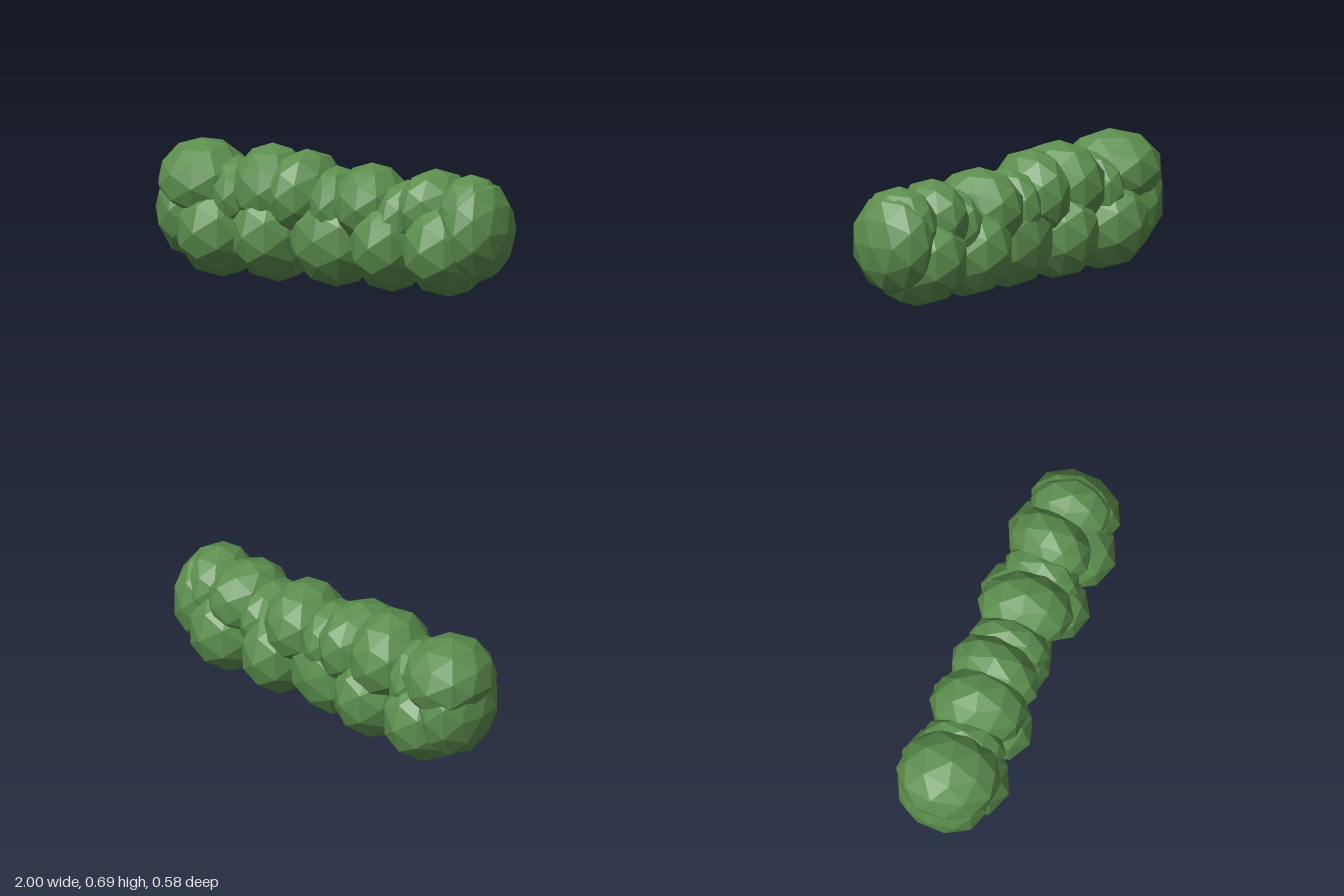
import * as THREE from 'three';

// Low-poly hedge assembled from overlapping faceted leaf clumps.
export function createModel() {
  const hedge = new THREE.Group();
  hedge.name = 'hedge';
  const leaves = new THREE.MeshStandardMaterial({ color: 0x5c8f4e, flatShading: true });

  function row(name, clumps) {
    const group = new THREE.Group();
    group.name = name;
    clumps.forEach(([x, y, z, rx, ry, rz, turn = 0, tilt = 0], i) => {
      const clump = new THREE.Mesh(new THREE.IcosahedronGeometry(1, 1), leaves);
      clump.name = `${name}Clump${i + 1}`;
      clump.position.set(x, y, z);
      clump.scale.set(rx, ry, rz);
      clump.rotation.set(tilt, turn, 0);
      group.add(clump);
    });
    hedge.add(group);
  }

  // Each clump: centre x, y, z, radii x, y, z, turn about y, tilt about x
  row('lower', [
    [-0.66, 0.25, 0, 0.22, 0.25, 0.29],
    [-0.33, 0.25, 0, 0.2, 0.25, 0.285, -0.17],
    [0, 0.25, 0, 0.25, 0.25, 0.22],
    [0.33, 0.25, 0, 0.2, 0.25, 0.285, 0.1],
    [0.66, 0.25, 0, 0.22, 0.25, 0.29],
  ]);

  // Rounded ends
  row('end', [-1, 1].map((side) => [side * 0.83, 0.345, 0, 0.17, 0.26, 0.24]));

  // Crown clumps, slightly uneven in height and turn
  row('upper', [
    [-0.765, 0.485, 0.01, 0.232, 0.21, 0.265, 0.3, 0.08],
    [-0.37, 0.465, 0, 0.2, 0.23, 0.25, 0.25],
    [-0.17, 0.455, 0, 0.17, 0.225, 0.245, -0.15],
    [0.21, 0.43, 0, 0.19, 0.21, 0.245, 0.2],
    [0.57, 0.43, -0.02, 0.17, 0.205, 0.225, -0.25],
    [0.79, 0.42, 0, 0.17, 0.205, 0.215, 0.15],
  ]);

  // Smaller clumps filling the gaps in the crown
  row('filler', [
    [-0.57, 0.42, 0, 0.13, 0.2, 0.22, 0.2],
    [0.01, 0.41, 0, 0.13, 0.2, 0.21, 0.1],
    [0.42, 0.38, 0, 0.13, 0.19, 0.21, -0.1],
  ]);

  return hedge;
}
